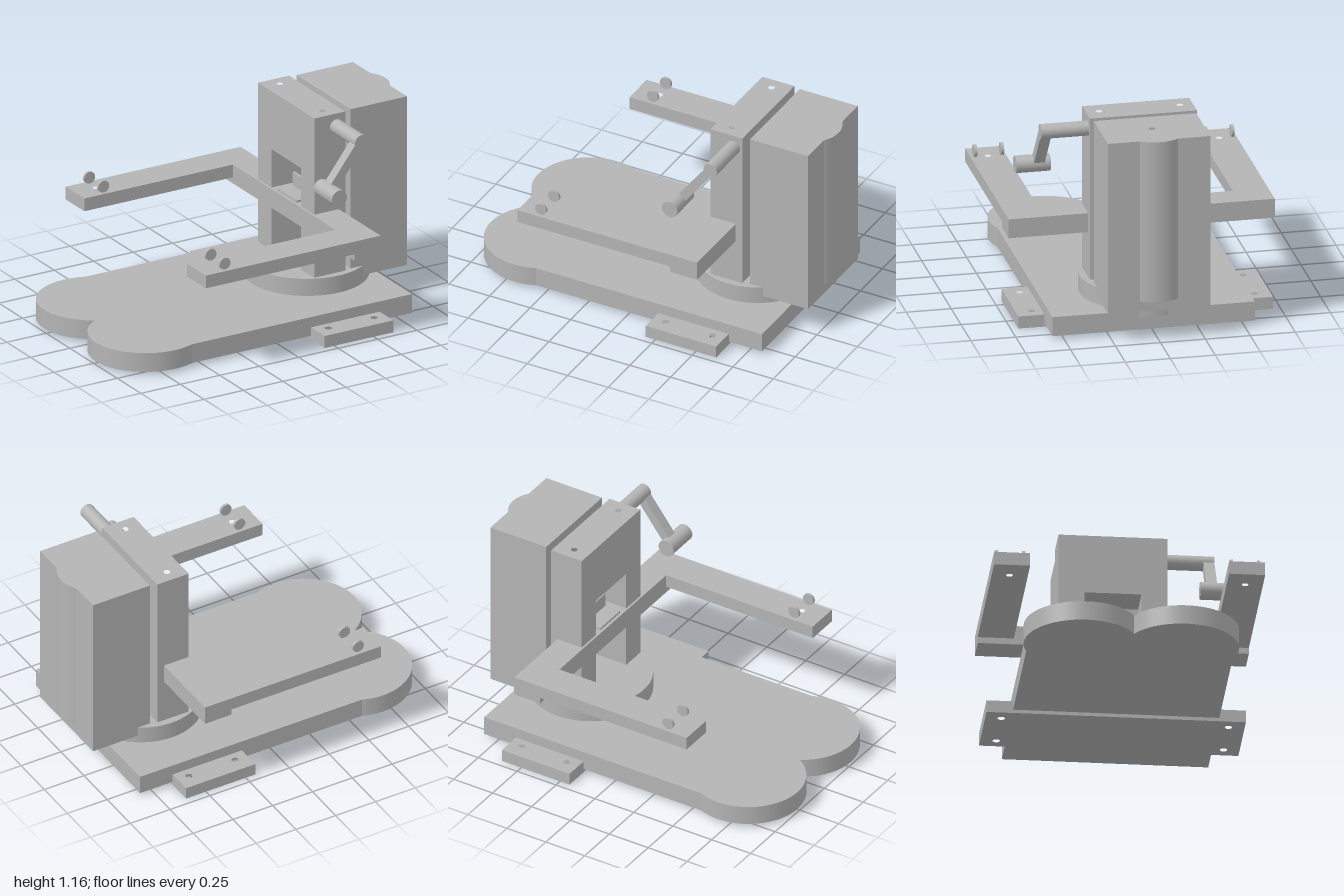
import * as THREE from 'three';

export function createModel() {
  const model = new THREE.Group();
  const grey = new THREE.MeshStandardMaterial({ color: 0xb4b4b4 });
  grey.name = 'plainGrey';

  const add = (name, geometry) => {
    const mesh = new THREE.Mesh(geometry, grey);
    mesh.name = name;
    model.add(mesh);
    return mesh;
  };

  // Box given by its limits on each axis
  const box = (name, x0, x1, y0, y1, z0, z1) =>
    add(name, new THREE.BoxGeometry(x1 - x0, y1 - y0, z1 - z0)
      .translate((x0 + x1) / 2, (y0 + y1) / 2, (z0 + z1) / 2));

  // Plan outline [x, z] with round holes [x, z], raised from y0 to y1
  const slab = (name, outline, holes, y0, y1, r = 0.018) => {
    const shape = new THREE.Shape(outline.map(([x, z]) => new THREE.Vector2(x, -z)));
    for (const [x, z] of holes) {
      shape.holes.push(new THREE.Path().absarc(x, -z, r, 0, Math.PI * 2, true));
    }
    const geometry = new THREE.ExtrudeGeometry(shape, { depth: y1 - y0, bevelEnabled: false, curveSegments: 20 });
    return add(name, geometry.rotateX(-Math.PI / 2).translate(0, y0, 0));
  };
  const rect = (x0, x1, z) => [[x0, -z], [x1, -z], [x1, z], [x0, z]];

  // Upright cylinder, and cylinder lying along z
  const disc = (name, x, z, r, y0, y1) =>
    add(name, new THREE.CylinderGeometry(r, r, y1 - y0, 64).translate(x, (y0 + y1) / 2, z));
  const rod = (name, x, y, r, z0, z1) =>
    add(name, new THREE.CylinderGeometry(r, r, z1 - z0, 40).rotateX(Math.PI / 2).translate(x, y, (z0 + z1) / 2));

  // Base plate with two round lobes at the end
  box('basePlate', -0.685, 0.83, 0.02, 0.13, -0.563, 0.563);
  for (const s of [-1, 1]) disc('baseLobe', -0.685, s * 0.272, 0.315, 0.02, 0.13);

  // Cross plate with mounting holes
  const mounts = [];
  for (const x of [0.265, 0.555]) for (const z of [-0.62, 0.62]) mounts.push([x, z]);
  slab('mountingPlate', rect(0.19, 0.625, 0.708), mounts, 0, 0.07, 0.02);

  // Turntable
  disc('turntable', 0.5, 0, 0.34, 0.09, 0.23);

  // Slotted column
  slab('columnTop', rect(0.37, 0.567, 0.298), [[0.465, -0.225], [0.465, 0.225]], 0.825, 1.165);
  for (const s of [-1, 1]) {
    box('columnLeg', 0.37, 0.567, 0.225, 0.825, Math.min(s * 0.155, s * 0.298), Math.max(s * 0.155, s * 0.298));
  }
  box('columnConnector', 0.565, 0.61, 0.6, 0.825, -0.155, 0.155);

  // Rear housing with a rounded spine
  box('housing', 0.607, 0.965, 0.175, 1.065, -0.285, 0.285);
  slab('housingTop', rect(0.607, 0.965, 0.285), [[0.785, 0]], 1.065, 1.165);
  const half = Math.asin(0.105 / 0.175);
  add('housingSpine', new THREE.CylinderGeometry(0.175, 0.175, 0.93, 32, 1, false, Math.PI / 2 - half, half * 2)
    .translate(0.825, 0.7, 0));

  // Arm rest frame: U shaped top and thicker cross bar
  slab('armFrame', [
    [-0.583, -0.74], [0.525, -0.74], [0.525, 0.74], [-0.583, 0.74],
    [-0.583, 0.543], [0.358, 0.543], [0.358, -0.543], [-0.583, -0.543],
  ], [[-0.45, -0.643], [-0.45, 0.643]], 0.525, 0.6);
  box('crossBar', 0.358, 0.525, 0.49, 0.527, -0.74, 0.74);

  // Bracket joining the cross bar to the column
  box('bracketUpright', 0.47, 0.485, 0.6, 0.69, -0.1, 0.1);
  slab('bracketFoot', rect(0.375, 0.475, 0.1), [[0.415, -0.05], [0.415, 0.05]], 0.6, 0.612, 0.013);

  // Pairs of small upright discs near the arm ends
  for (const s of [-1, 1]) {
    for (const z of [0.567, 0.715]) rod('armDisc', -0.45, 0.636, 0.034, s * z - 0.008, s * z + 0.008);
  }

  // Crank: shaft, slanted lever and handle
  const from = new THREE.Vector2(0.51, 1.09);
  const to = new THREE.Vector2(0.312, 0.834);
  rod('crankShaft', from.x, from.y, 0.041, 0.29, 0.563);
  const lever = add('crankLever', new THREE.BoxGeometry(from.distanceTo(to), 0.052, 0.06));
  lever.position.set((from.x + to.x) / 2, (from.y + to.y) / 2, 0.533);
  lever.rotation.z = Math.atan2(from.y - to.y, from.x - to.x);
  rod('crankHandle', to.x, to.y, 0.048, 0.468, 0.66);

  return model;
}
